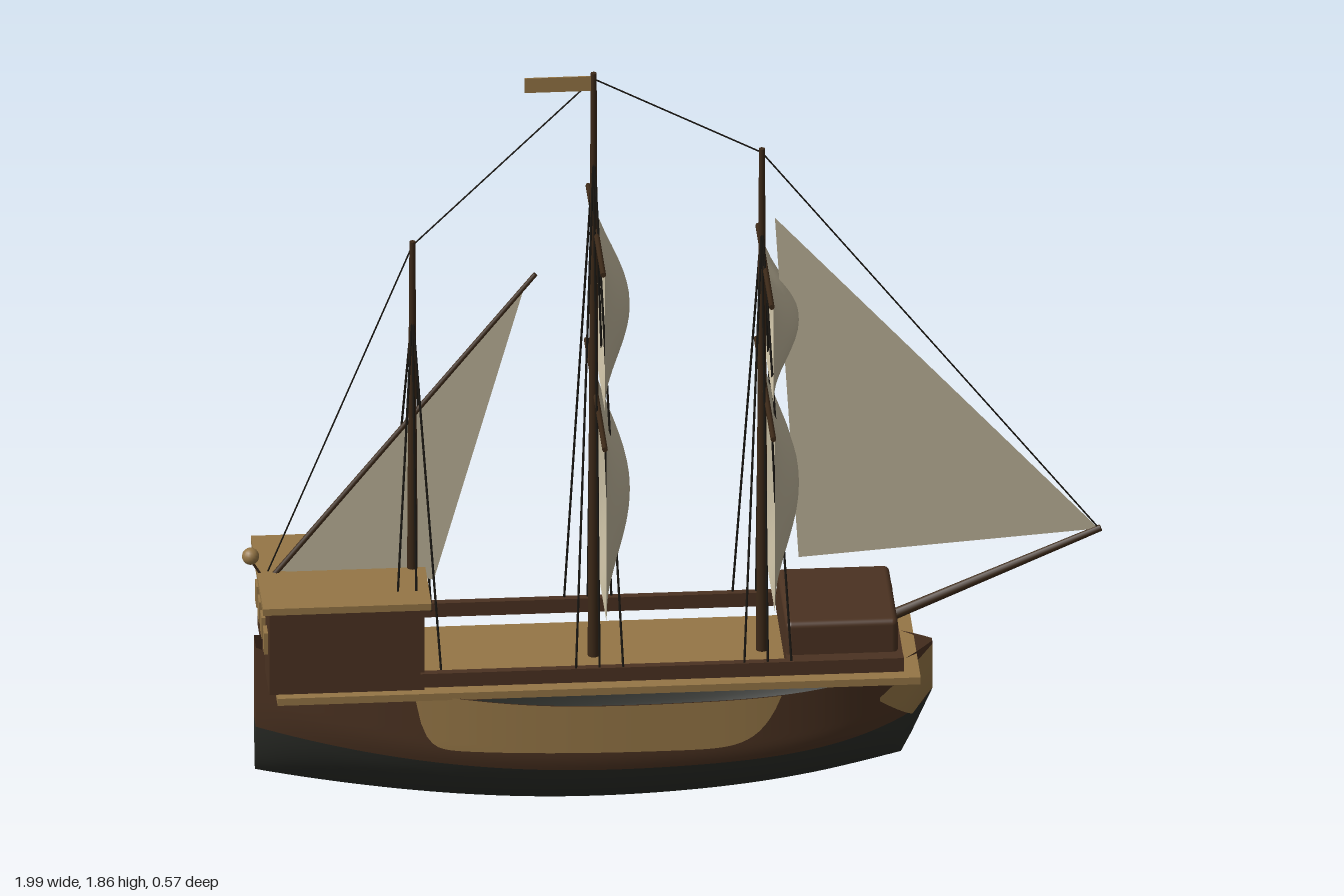
import * as THREE from 'three';
import { RoundedBoxGeometry } from 'three/addons/geometries/RoundedBoxGeometry.js';

const mat = (name, color, side = THREE.FrontSide) => {
  const m = new THREE.MeshStandardMaterial({ color, side });
  m.name = name;
  return m;
};

export function createModel() {
  const ship = new THREE.Group();
  ship.name = 'sailingShip';
  const D = THREE.DoubleSide;
  const brown = mat('brown wood', 0x4b3221, D);
  const ochre = mat('ochre wood', 0x957646, D);
  const bottomPaint = mat('dark hull paint', 0x2b2d28, D);
  const spar = mat('spar wood', 0x3c2918);
  const rope = mat('rope', 0x1b1813);
  const canvas = mat('sail canvas', 0xbfb59b, D);

  const add = (name, geo, material, x = 0, y = 0, z = 0) => {
    const m = new THREE.Mesh(geo, material);
    m.name = name;
    m.position.set(x, y, z);
    ship.add(m);
    return m;
  };
  const box = (name, material, x0, x1, y0, y1, z0, z1) =>
    add(name, new THREE.BoxGeometry(x1 - x0, y1 - y0, z1 - z0), material,
      (x0 + x1) / 2, (y0 + y1) / 2, (z0 + z1) / 2);
  // round bar between two points
  const bar = (name, a, b, r0, r1, material, sides = 10) => {
    const p = new THREE.Vector3(...a), q = new THREE.Vector3(...b);
    const d = q.clone().sub(p);
    const m = add(name, new THREE.CylinderGeometry(r1, r0, d.length(), sides), material);
    m.position.copy(p).add(q).multiplyScalar(0.5);
    m.quaternion.setFromUnitVectors(new THREE.Vector3(0, 1, 0), d.normalize());
    return m;
  };
  // plane bent by a rule: f(u, v) with u, v in 0..1
  const surface = (f, nu, nv) => {
    const g = new THREE.PlaneGeometry(1, 1, nu, nv), p = g.attributes.position;
    for (let i = 0; i < p.count; i++) p.setXYZ(i, ...f(p.getX(i) + 0.5, p.getY(i) + 0.5));
    g.computeVertexNormals();
    return g;
  };

  // ---- hull: keel, sheer and half-width rules
  const X0 = -0.97, X1 = 0.6;
  const mix = THREE.MathUtils.lerp;
  const keel = x => {
    const y = 0.085 * ((Math.min(x, 0.53) + 0.2) / 0.75) ** 2;
    return x > 0.53 ? mix(y, 0.24, (x - 0.53) / 0.07) : y;
  };
  const sheer = x => 0.325 + (x < -0.2 ? 0.097 : 0.025) * ((x + 0.2) / 0.78) ** 2 + (x > 0.45 ? (x - 0.45) * 0.1 : 0);
  const water = x => Math.max(keel(x) + 0.002, 0.155 + 0.055 * ((x + 0.2) / 0.75) ** 2);
  const halfWidth = (x, y) => {
    const s = x + 0.04;
    const beam = 0.205 * (1 - (s > 0 ? (s / 0.645) ** 3.6 : (-s / 1.0) ** 2.4));
    const t = Math.min((y - keel(x)) / (sheer(x) - keel(x)) / 0.62, 1);
    return beam * Math.max(0, 1 - (1 - t) ** 2) ** 0.75;
  };
  const band = (name, material, x0, x1, lo, hi, out = 0, power = 1) => {
    for (const side of [1, -1]) {
      add(name, surface((u, v) => {
        const x = side > 0 ? mix(x0, x1, u) : mix(x1, x0, u);
        const y = mix(lo(x), hi(x), v ** power);
        return [x, y, side * (halfWidth(x, y) + out)];
      }, 64, 14), material);
    }
  };
  band('hullBottom', bottomPaint, X0, X1, keel, water, 0, 2);
  band('hullSide', brown, X0, X1, water, sheer);
  band('hullPanel', ochre, -0.61, 0.235,
    x => Math.min(sheer(x), x < -0.2 ? 0.205 + 0.13 * ((-0.2 - x) / 0.41) ** 20
      : 0.205 + 0.125 * ((x + 0.2) / 0.435) ** 9), sheer, 0.003);
  band('bowPanel', ochre, 0.47, X1, x => mix(0.27, 0.2, Math.min((x - 0.47) / 0.08, 1)) + Math.max(0, x - 0.55) * 0.85,
    x => mix(0.28, 0.36, (x - 0.47) / 0.13), 0.003);
  const transom = (name, material, lo, hi, power) => add(name, surface((u, v) => {
    const y = mix(lo, hi, v ** power);
    return [X0, y, (u * 2 - 1) * halfWidth(X0, y)];
  }, 2, 12), material);
  transom('transomBottom', bottomPaint, keel(X0), water(X0), 2);
  transom('transomTop', brown, water(X0), sheer(X0), 1);

  // ---- deck, rails and deck houses
  box('deck', ochre, -0.93, 0.56, 0.337, 0.355, -0.172, 0.172);
  for (const s of [1, -1]) box('rail', brown, -0.6, 0.52, 0.38, 0.415, s * 0.18 - 0.009, s * 0.18 + 0.009);
  add('forecastle', new RoundedBoxGeometry(0.26, 0.12, 0.29, 3, 0.014), brown, 0.38, 0.432, 0);
  box('foreBeam', brown, 0.25, 0.52, 0.375, 0.41, -0.17, 0.17);
  box('sternHouse', brown, -0.95, -0.59, 0.37, 0.58, -0.18, 0.18);
  box('sternRoof', ochre, -0.965, -0.575, 0.58, 0.597, -0.19, 0.19);
  for (let i = 0; i < 4; i++) {
    const z = -0.12 + i * 0.08;
    box('sternWindow', ochre, -0.959, -0.95, 0.455, 0.51, z - 0.021, z + 0.021);
  }
  add('lantern', new THREE.SphereGeometry(0.02, 16, 12), ochre, -0.98, 0.64, 0);
  bar('lanternArm', [-0.955, 0.59, 0], [-0.98, 0.63, 0], 0.003, 0.003, spar, 6);

  // ---- masts with three shrouds on each side
  const masts = [
    { name: 'mizzenMast', x: -0.605, top: 1.44, hang: 1.26, spread: 0.155 },
    { name: 'mainMast', x: -0.185, top: 1.86, hang: 1.66, spread: 0.185 },
    { name: 'foreMast', x: 0.205, top: 1.65, hang: 1.46, spread: 0.185 },
  ];
  for (const m of masts) {
    bar(m.name, [m.x, 0.35, 0], [m.x, m.top, 0], 0.014, 0.007, spar, 12);
    for (const s of [1, -1]) for (const dx of [-0.055, 0, 0.055])
      bar('shroud', [m.x + dx, 0.405, s * m.spread], [m.x, m.hang, 0], 0.0028, 0.0028, rope, 5);
  }
  bar('bowsprit', [0.49, 0.425, 0], [0.99, 0.64, 0], 0.013, 0.008, spar, 12);
  const stays = [[-0.94, 0.6], [-0.605, 1.43], [-0.185, 1.845], [0.205, 1.64], [0.985, 0.64]];
  for (let i = 1; i < stays.length; i++)
    bar('stay', [...stays[i - 1], 0], [...stays[i], 0], 0.002, 0.002, rope, 5);

  // ---- square sails and yards: mast x, bottom, top, half sail, half yard
  const squares = [
    ['mainCourse', -0.18, 0.565, 1.025, 0.257, 0.285],
    ['mainTopsail', -0.18, 1.085, 1.45, 0.207, 0.232],
    ['foreCourse', 0.212, 0.565, 1.025, 0.235, 0.262],
    ['foreTopsail', 0.212, 1.085, 1.342, 0.19, 0.212],
  ];
  for (const [name, x, y0, y1, w, yard] of squares) {
    add(name, surface((u, v) => [
      x + 0.006 + 0.072 * Math.sin(Math.PI * u) * Math.sin(Math.PI * v),
      mix(y0, y1, v), w * (1 - 2 * u)], 20, 16), canvas);
    bar(name + 'Yard', [x, y1 + 0.003, -yard], [x, y1 + 0.003, yard], 0.0065, 0.0065, spar, 8);
  }

  // ---- triangular sails, lateen yard and pennant
  const flat = (name, pts, material) =>
    add(name, new THREE.ShapeGeometry(new THREE.Shape(pts.map(p => new THREE.Vector2(...p)))), material);
  flat('lateenSail', [[-0.92, 0.6], [-0.555, 0.565], [-0.345, 1.315]], canvas);
  bar('lateenYard', [-0.93, 0.585, 0], [-0.32, 1.345, 0], 0.007, 0.006, spar, 8);
  flat('jib', [[0.235, 1.47], [0.29, 0.59], [0.985, 0.638]], canvas);
  box('pennant', ochre, -0.345, -0.188, 1.815, 1.852, -0.002, 0.002);

  return ship;
}
